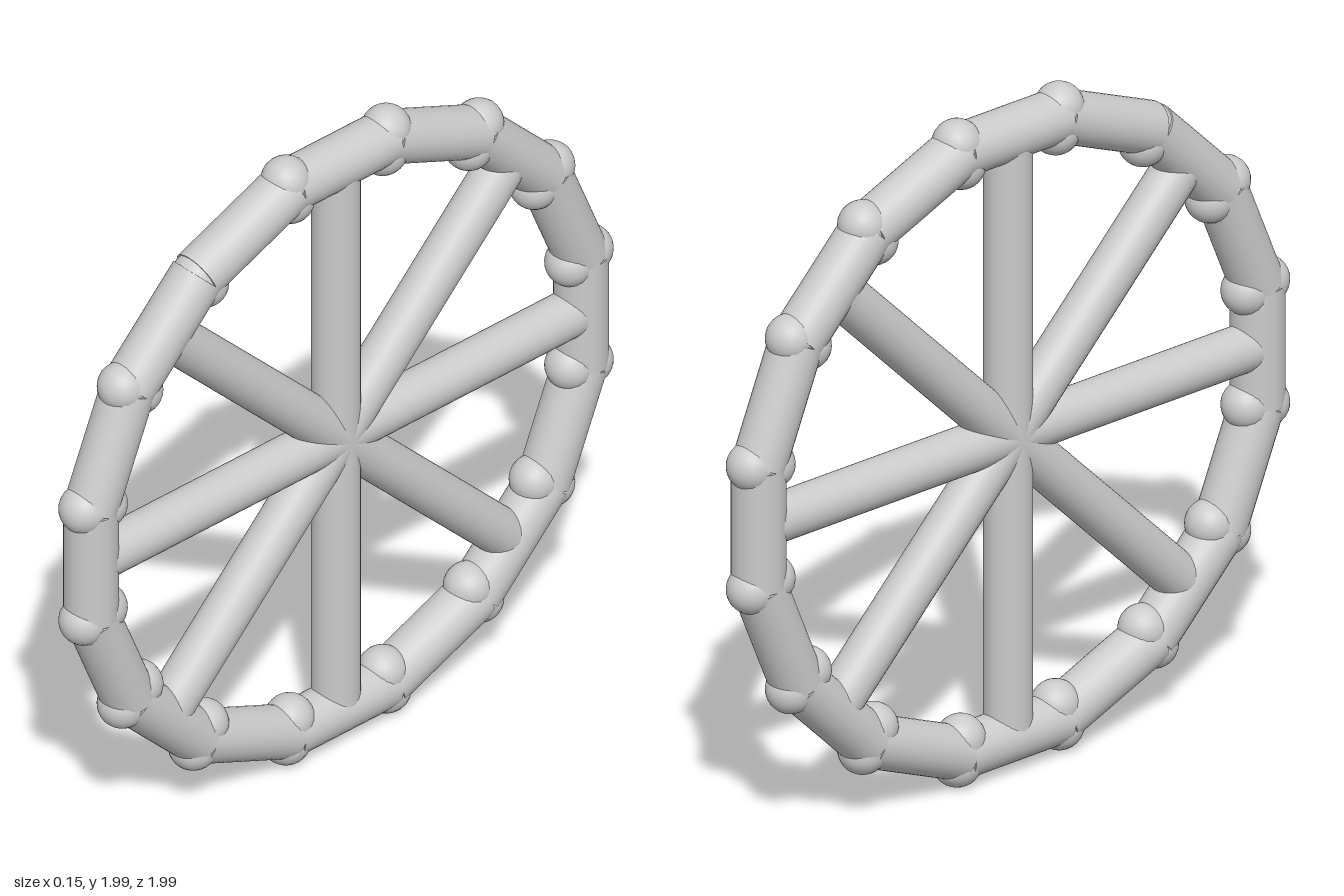
import * as THREE from 'three';

const SIDES = 16;        // rim segments
const APOTHEM = 0.9;     // wheel centre to middle of a rim segment
const RIM_R = 0.076;
const SPOKE_R = 0.068;
const BALL_R = 0.07;

export function createModel() {
  const wheel = new THREE.Group();
  wheel.name = 'wheel';
  const material = new THREE.MeshStandardMaterial({ color: 0xcccccc });

  // Adds a part in the wheel plane (x = 0), at a distance from the hub along an angle from the top
  const add = (name, geometry, radius, angle, turn = 0) => {
    const mesh = new THREE.Mesh(geometry, material);
    mesh.name = name;
    mesh.position.set(0, 1 + radius * Math.cos(angle), radius * Math.sin(angle));
    mesh.rotation.x = angle + turn;
    wheel.add(mesh);
  };

  const step = (Math.PI * 2) / SIDES;
  const segmentLength = 2 * APOTHEM * Math.tan(step / 2);
  const rimGeo = new THREE.CylinderGeometry(RIM_R, RIM_R, segmentLength, 32);
  const ballGeo = new THREE.SphereGeometry(BALL_R, 24, 16);

  // Rim: straight tubes, with an outer and an inner ball at every joint
  for (let i = 0; i < SIDES; i++) {
    const joint = (i + 0.5) * step;
    add('rimSegment', rimGeo, APOTHEM, i * step, Math.PI / 2);
    // one joint, at the upper front, is sunk slightly into the rim
    add('outerJoint', ballGeo, i === 1 ? 0.92 : 0.944, joint);
    add('innerJoint', ballGeo, 0.876, joint);
  }

  // Spokes: four full-width rods crossing at the hub
  const spokeGeo = new THREE.CylinderGeometry(SPOKE_R, SPOKE_R, 2 * APOTHEM, 32);
  for (let i = 0; i < 4; i++) add('spokePair', spokeGeo, 0, (i * Math.PI) / 4);

  return wheel;
}
